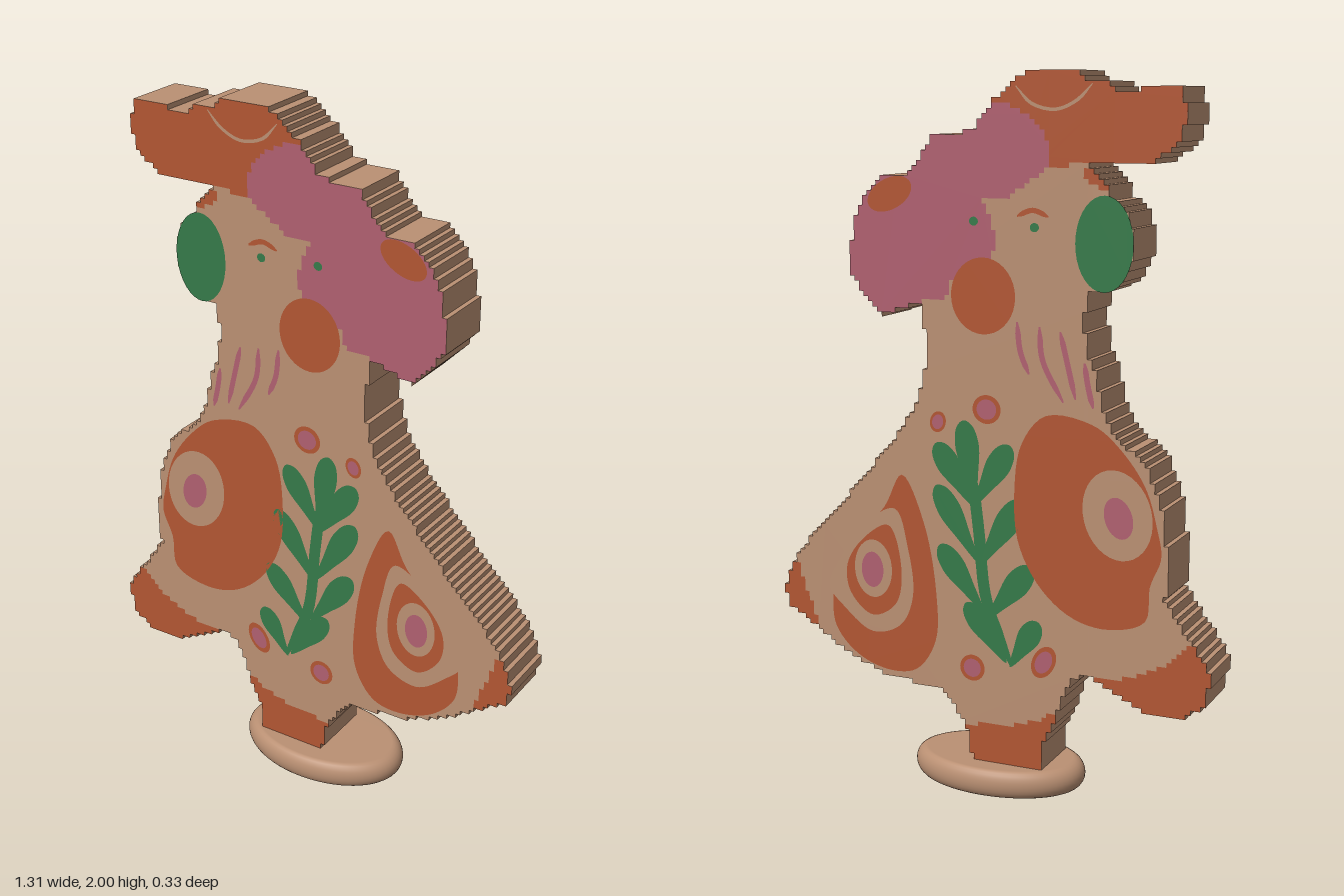
import * as THREE from 'three';

const mat = (name, color) => {
  const m = new THREE.MeshStandardMaterial({ color });
  m.name = name;
  return m;
};
const tan = mat('tan wood', 0xba9073);
const orange = mat('burnt orange', 0xb25633);
const pink = mat('dusty pink', 0xb06070);
const green = mat('leaf green', 0x357a49);

const HALF = 0.091; // half thickness of the board
const CELL = 1 / 72; // size of the steps in the sawn edge

// Outline of the board, clockwise from the foot; each run ends where the next one starts
const footLeft = [[-0.17, 0.07], [-0.17, 0.165], [-0.195, 0.2], [-0.21, 0.26]];
const legRight = [[-0.21, 0.26], [-0.255, 0.36], [-0.3, 0.375]];
const lowTip = [[-0.3, 0.375], [-0.39, 0.33], [-0.47, 0.295], [-0.57, 0.29], [-0.635, 0.335],
  [-0.65, 0.41], [-0.64, 0.45], [-0.595, 0.51]];
const flank = [[-0.595, 0.51], [-0.57, 0.54], [-0.52, 0.615], [-0.525, 0.73], [-0.51, 0.86], [-0.465, 0.97],
  [-0.36, 1.065], [-0.335, 1.13], [-0.32, 1.21], [-0.295, 1.26], [-0.28, 1.34], [-0.29, 1.415]];
const earEdge = [[-0.29, 1.425], [-0.335, 1.43], [-0.375, 1.455], [-0.405, 1.5], [-0.42, 1.555], [-0.405, 1.625],
  [-0.375, 1.665], [-0.34, 1.68]];
const tuft = [[-0.35, 1.69], [-0.34, 1.715], [-0.285, 1.755]];
const hatEdge = [[-0.285, 1.765], [-0.465, 1.765], [-0.54, 1.82], [-0.555, 1.9], [-0.54, 1.955], [-0.44, 1.955],
  [-0.43, 1.94], [-0.37, 1.945], [-0.35, 1.965], [-0.28, 1.98], [-0.25, 2], [-0.12, 2], [-0.07, 1.965], [-0.015, 1.92]];
const hairEdge = [[-0.015, 1.92], [0.035, 1.845], [0.16, 1.83], [0.22, 1.74], [0.235, 1.725], [0.32, 1.715],
  [0.37, 1.66], [0.405, 1.6], [0.415, 1.46], [0.37, 1.385], [0.32, 1.34], [0.25, 1.365], [0.19, 1.385]];
const skirt = [[0.19, 1.385], [0.185, 1.21], [0.21, 1.1], [0.275, 1], [0.38, 0.875], [0.51, 0.73], [0.61, 0.62]];
const wingTip = [[0.61, 0.62], [0.65, 0.515], [0.635, 0.465], [0.54, 0.405]];
const hem = [[0.54, 0.405], [0.49, 0.37], [0.33, 0.295], [0.14, 0.275], [0.105, 0.23], [0.065, 0.185]];
const footRight = [[0.065, 0.185], [0.045, 0.07]];

// Closed polygon turned into a staircase on the cell grid
function stair(points) {
  const out = [];
  const push = (x, y) => {
    const l = out[out.length - 1];
    if (!l || l.x !== x * CELL || l.y !== y * CELL) out.push(new THREE.Vector2(x * CELL, y * CELL));
  };
  let px, py;
  points.forEach(([ax, ay], i) => {
    const [bx, by] = points[(i + 1) % points.length];
    const n = Math.max(1, Math.ceil(Math.hypot(bx - ax, by - ay) / CELL * 4));
    for (let k = 0; k < n; k++) {
      const x = Math.round((ax + (bx - ax) * k / n) / CELL), y = Math.round((ay + (by - ay) * k / n) / CELL);
      if (px !== undefined && x !== px && y !== py) push(x, py);
      push(x, y);
      px = x; py = y;
    }
  });
  const f = out[0], l = out[out.length - 1];
  if (f.x === l.x && f.y === l.y) out.pop();
  return new THREE.Shape(out);
}

const curve = (pts, closed) => new THREE.CatmullRomCurve3(pts.map(([x, y]) => new THREE.Vector3(x, y, 0)), closed);
const blob = (pts) => new THREE.Shape(curve(pts, true).getPoints(72).slice(0, -1).map(p => new THREE.Vector2(p.x, p.y)));
const oval = (x, y, rx, ry, rot = 0) => new THREE.Shape(
  new THREE.EllipseCurve(x, y, rx, ry, 0, Math.PI * 2, false, rot).getPoints(36).slice(0, -1));

// Brush stroke of even width with pointed ends
function stroke(pts, width) {
  const c = curve(pts, false), a = [], b = [], n = 16;
  for (let i = 0; i <= n; i++) {
    const p = c.getPoint(i / n), t = c.getTangent(i / n);
    const w = width / 2 * Math.min(1, 0.3 + 4 * Math.min(i, n - i) / n);
    a.push(new THREE.Vector2(p.x - t.y * w, p.y + t.x * w));
    b.unshift(new THREE.Vector2(p.x + t.y * w, p.y - t.x * w));
  }
  return new THREE.Shape([...a, ...b]);
}

// Leaf with a narrow base and a round tip
function leaf([bx, by], [tx, ty], w) {
  const dx = tx - bx, dy = ty - by, l = Math.hypot(dx, dy);
  const at = (t, s) => [bx + dx * t - dy / l * s * w, by + dy * t + dx / l * s * w];
  return blob([at(0, 0), at(0.35, 0.6), at(0.7, 1), at(0.93, 0.65), at(1, 0), at(0.93, -0.65), at(0.7, -1), at(0.35, -0.6)]);
}

export function createModel() {
  const group = new THREE.Group();

  // Sawn board
  const board = new THREE.ExtrudeGeometry(
    stair([...footLeft, ...legRight, ...lowTip, ...flank, ...earEdge, ...tuft, ...hatEdge, ...hairEdge,
      ...skirt, ...wingTip, ...hem, ...footRight]),
    { depth: HALF * 2, bevelEnabled: false });
  board.translate(0, 0, -HALF);
  const body = new THREE.Mesh(board, tan);
  body.name = 'board';
  group.add(body);

  // Oval stand with rounded rim
  const profile = [new THREE.Vector2(0, 0)];
  for (let i = 0; i <= 12; i++) {
    const a = -Math.PI / 2 + Math.PI * i / 12;
    profile.push(new THREE.Vector2(0.22 + 0.036 * Math.cos(a), 0.04 + 0.04 * Math.sin(a)));
  }
  profile.push(new THREE.Vector2(0, 0.08));
  const stand = new THREE.Mesh(new THREE.LatheGeometry(profile, 64), tan);
  stand.scale.z = 0.65;
  stand.name = 'stand';
  group.add(stand);

  // Paint one shape on both faces; higher layers lie on top
  const paint = (name, material, layer, shape) => {
    const front = new THREE.ShapeGeometry(shape);
    front.translate(0, 0, HALF + 0.0012 * layer);
    const back = front.clone().scale(1, 1, -1);
    back.setIndex(Array.from(front.index.array).reverse());
    [[front, 'Front'], [back, 'Back']].forEach(([geo, side]) => {
      const m = new THREE.Mesh(geo, material);
      m.name = name + side;
      group.add(m);
    });
  };

  // Areas that reach the edge
  paint('foot', orange, 1, stair([...footLeft, [-0.15, 0.22], [-0.05, 0.193], ...footRight]));
  paint('lowerWingTip', orange, 1, stair([...lowTip, [-0.56, 0.46], [-0.48, 0.41], [-0.39, 0.375]]));
  paint('sideWingTip', orange, 1, stair([...wingTip, [0.55, 0.46], [0.585, 0.54]]));
  paint('hat', orange, 1, stair([...hatEdge, [-0.07, 1.91], [-0.14, 1.875], [-0.18, 1.81], [-0.18, 1.75]]));
  paint('hair', pink, 1, stair([...hairEdge, [0.125, 1.39], [0.105, 1.45], [0, 1.45], [-0.025, 1.54], [-0.02, 1.6],
    [0.01, 1.66], [-0.05, 1.665], [-0.12, 1.71], [-0.18, 1.75], [-0.18, 1.81], [-0.14, 1.875], [-0.07, 1.91]]));
  paint('tuft', orange, 1, stair([...tuft, [-0.28, 1.72]]));

  // Head details
  paint('ear', green, 2, oval(-0.337, 1.555, 0.081, 0.126));
  paint('cheek', orange, 2, oval(0.01, 1.405, 0.095, 0.104));
  paint('hairFlower', orange, 2, oval(0.29, 1.672, 0.072, 0.042, -0.45));
  paint('eyeRight', green, 2, oval(-0.14, 1.593, 0.013, 0.012));
  paint('eyeLeft', green, 2, oval(0.037, 1.605, 0.013, 0.012));
  paint('eyebrow', orange, 2, stroke([[-0.18, 1.622], [-0.135, 1.638], [-0.09, 1.622]], 0.014));
  paint('hatLine', tan, 2, stroke([[-0.3, 1.965], [-0.26, 1.925], [-0.2, 1.9], [-0.13, 1.915], [-0.085, 1.96]], 0.009));

  // Neck strokes
  [[[-0.285, 1.24], [-0.295, 1.18], [-0.31, 1.12]],
    [[-0.215, 1.32], [-0.235, 1.24], [-0.26, 1.14]],
    [[-0.155, 1.33], [-0.165, 1.24], [-0.225, 1.13]],
    [[-0.09, 1.34], [-0.1, 1.26], [-0.125, 1.2]]]
    .forEach((p, i) => paint('neckStroke' + i, pink, 1, stroke(p, 0.016)));

  // Large wing with its eye spot
  paint('largeWing', orange, 1, blob([[-0.175, 1.09], [-0.105, 1.01], [-0.083, 0.875], [-0.095, 0.73], [-0.16, 0.61],
    [-0.255, 0.535], [-0.36, 0.515], [-0.465, 0.55], [-0.478, 0.65], [-0.508, 0.73], [-0.495, 0.81], [-0.46, 0.92],
    [-0.385, 1.02], [-0.31, 1.075]]));
  paint('largeWingRing', tan, 2, oval(-0.383, 0.835, 0.098, 0.125, -0.25));
  paint('largeWingSpot', pink, 3, oval(-0.387, 0.828, 0.04, 0.058, -0.3));

  // Small wing with nested bands
  paint('smallWing', orange, 1, blob([[0.262, 0.89], [0.195, 0.76], [0.157, 0.56], [0.16, 0.415], [0.22, 0.325],
    [0.305, 0.31], [0.41, 0.345], [0.48, 0.42], [0.49, 0.5], [0.47, 0.6], [0.41, 0.7], [0.32, 0.79]]));
  paint('smallWingBand', tan, 2, blob([[0.285, 0.79], [0.245, 0.68], [0.23, 0.54], [0.27, 0.45], [0.36, 0.42],
    [0.45, 0.48], [0.5, 0.54], [0.46, 0.63], [0.39, 0.73]]));
  paint('smallWingInner', orange, 3, blob([[0.305, 0.74], [0.265, 0.61], [0.285, 0.51], [0.36, 0.47], [0.43, 0.53],
    [0.44, 0.61], [0.39, 0.69]]));
  paint('smallWingRing', tan, 4, oval(0.355, 0.608, 0.06, 0.085));
  paint('smallWingSpot', pink, 5, oval(0.357, 0.605, 0.035, 0.052));

  // Leafy sprig
  paint('stem', green, 1, stroke([[-0.075, 0.375], [0, 0.55], [0.025, 0.76], [0.05, 0.96]], 0.035));
  [[[0.035, 0.83], [0.07, 1.06], 0.036],
    [[0.04, 0.82], [-0.07, 1.0], 0.036], [[0.04, 0.82], [0.155, 0.99], 0.036],
    [[0.025, 0.65], [-0.105, 0.85], 0.036], [[0.025, 0.66], [0.155, 0.87], 0.036],
    [[0, 0.5], [-0.135, 0.665], 0.036], [[0.01, 0.52], [0.145, 0.7], 0.036],
    [[-0.07, 0.37], [-0.155, 0.51], 0.033], [[-0.06, 0.38], [0.065, 0.54], 0.033]]
    .forEach(([base, tip, w], i) => paint('leaf' + i, green, 1, leaf(base, tip, w)));

  // Little flowers
  [[0, 1.095, 0.042, 0.04, 0], [0.148, 1.05, 0.024, 0.03, 0.3], [-0.172, 0.397, 0.033, 0.05, 0.5],
    [0.045, 0.352, 0.038, 0.038, 0]].forEach(([x, y, rx, ry, rot], i) => {
    paint('flower' + i, orange, 1, oval(x, y, rx, ry, rot));
    paint('flowerHeart' + i, pink, 2, oval(x, y, rx * 0.7, ry * 0.7, rot));
  });

  return group;
}
